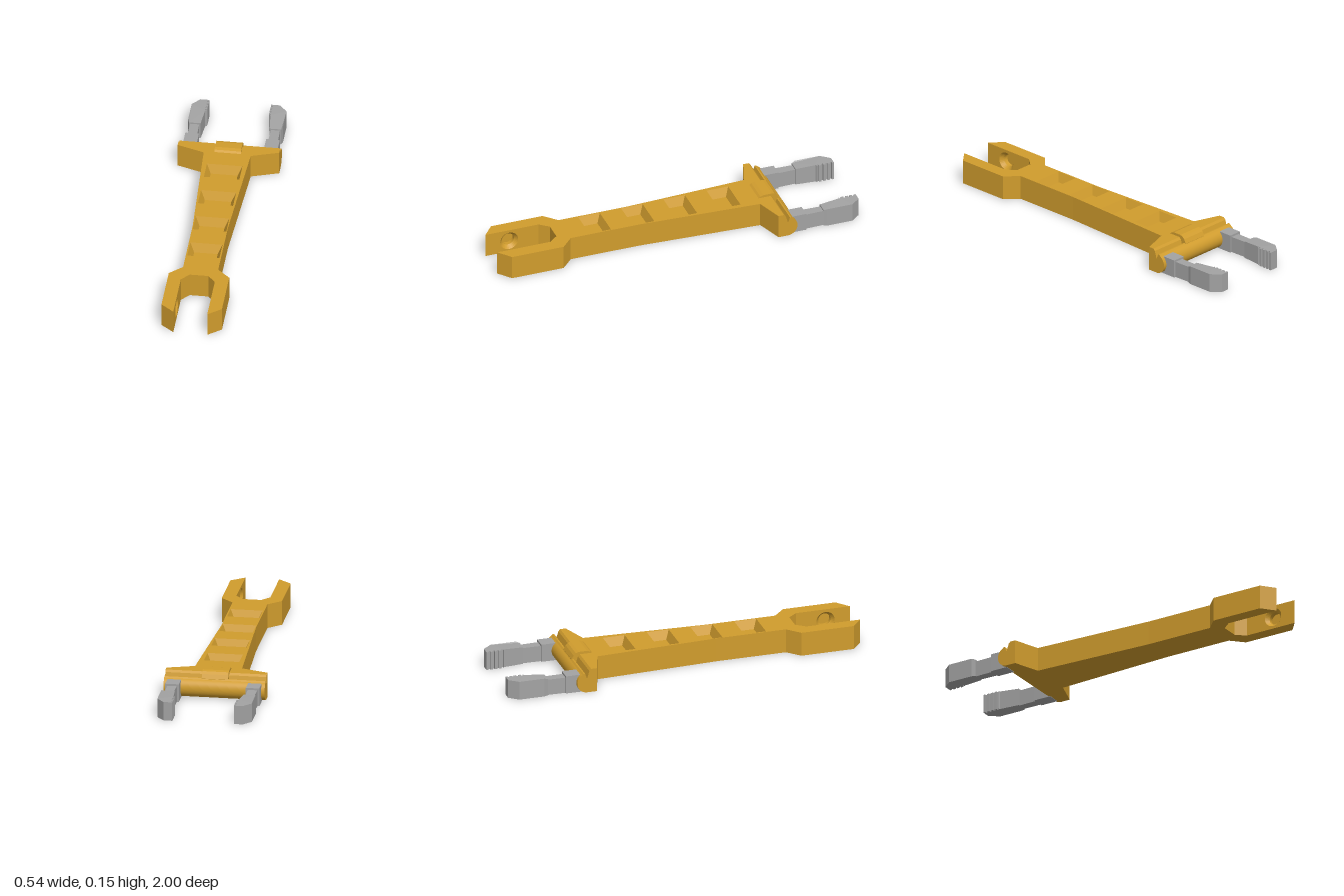
import * as THREE from 'three';

const TOP = 0.133, POCKET = 0.05;

export function createModel() {
  const model = new THREE.Group();
  const gold = new THREE.MeshStandardMaterial({ color: 0xd09c2d, side: THREE.DoubleSide });
  const grey = new THREE.MeshStandardMaterial({ color: 0xa3a3a3 });
  gold.name = 'gold';
  grey.name = 'grey';

  const add = (name, geometry, material = gold) => {
    const mesh = new THREE.Mesh(geometry, material);
    mesh.name = name;
    model.add(mesh);
    return mesh;
  };
  const shapeOf = (pts) => new THREE.Shape(pts.map(([a, b]) => new THREE.Vector2(a, b)));

  // plan outline (x, z) raised between two heights
  const raise = (shape, y0, y1) => {
    const g = new THREE.ExtrudeGeometry(shape, { depth: y1 - y0, bevelEnabled: false });
    return g.rotateX(Math.PI / 2).translate(0, y1, 0);
  };
  // side profile (-z, y) swept between two x positions
  const sweep = (shape, x0, x1) => {
    const g = new THREE.ExtrudeGeometry(shape, { depth: x1 - x0, bevelEnabled: false, curveSegments: 28 });
    return g.rotateY(Math.PI / 2).translate(x0, 0, 0);
  };

  // Tapered arm with the root of the fork and the flared shoulders
  const half = [
    [0.05, 0.65], [0.091, 0.70], [0.162, 0.70], [0.162, 0.65], [0.094, 0.585],
    [0.094, 0.2], [0.126, -0.475], [0.272, -0.525], [0.272, -0.53],
  ];
  const outline = [...half, ...half.map(([x, z]) => [-x, z]).reverse()];
  add('armBase', raise(shapeOf(outline), 0, TOP - POCKET));

  // Row of sunken pockets with sloping walls
  const pockets = [[-0.314, 0.095], [-0.069, 0.094], [0.172, 0.09], [0.416, 0.086]];
  const ring = (z, w, d) => [[-w, z + d], [w, z + d], [w, z - d], [-w, z - d]];
  const upper = shapeOf(outline);
  for (const [z, w] of pockets) {
    const rim = ring(z, w, 0.061);
    upper.holes.push(shapeOf(rim));
    const floor = ring(z, w - 0.023, 0.04);
    const g = new THREE.BufferGeometry();
    const pos = [
      ...rim.flatMap(([x, pz]) => [x, TOP, pz]),
      ...floor.flatMap(([x, pz]) => [x, TOP - POCKET + 0.002, pz]),
    ];
    const index = [4, 5, 6, 4, 6, 7];
    for (let i = 0; i < 4; i++) {
      const j = (i + 1) % 4;
      index.push(i, j, j + 4, i, j + 4, i + 4);
    }
    g.setAttribute('position', new THREE.Float32BufferAttribute(pos, 3));
    g.setIndex(index);
    const flat = g.toNonIndexed();
    flat.computeVertexNormals();
    add('pocket', flat);
  }
  add('armTop', raise(upper, TOP - POCKET, TOP));

  // Fork prongs: a drilled inner layer, a solid outer layer and a slanted tip
  const prongLayer = (s, inner, outer, drilled) => {
    const shape = shapeOf([[-1, 0], [-0.70, 0], [-0.70, TOP], [-1, TOP]]);
    if (drilled) shape.holes.push(new THREE.Path().absarc(-0.865, TOP / 2, 0.051, 0, Math.PI * 2, true));
    const g = sweep(shape, Math.min(s * inner, s * outer), Math.max(s * inner, s * outer));
    const p = g.attributes.position;
    for (let i = 0; i < p.count; i++) {
      if (p.getZ(i) > 0.99) p.setZ(i, 1 - (Math.abs(p.getX(i)) - 0.091) * 0.82);
    }
    g.computeVertexNormals();
    add(drilled ? 'prongInner' : 'prongOuter', g);
  };
  for (const s of [-1, 1]) {
    prongLayer(s, 0.091, 0.136, true);
    prongLayer(s, 0.136, 0.162, false);
    // stepped blind socket facing the gap
    const socket = new THREE.LatheGeometry(
      [[0.051, 0], [0.034, 0.02], [0.034, 0.044], [0, 0.044]].map(([r, y]) => new THREE.Vector2(r, y)), 32,
    ).toNonIndexed();
    socket.computeVertexNormals();
    socket.rotateZ(-s * Math.PI / 2).translate(s * 0.091, TOP / 2, 0.865);
    add('prongSocket', socket);
  }

  // Cross head: rounded barrel with a notch along its top
  const head = new THREE.Shape();
  head.moveTo(0.525, 0);
  head.lineTo(0.578, 0);
  head.absarc(0.578, 0.055, 0.055, -Math.PI / 2, Math.PI / 3, false);
  for (const [u, y] of [[0.598, 0.11], [0.59, 0.11], [0.579, 0.08], [0.566, 0.122], [0.556, TOP], [0.525, TOP]]) {
    head.lineTo(u, y);
  }
  head.closePath();
  add('crossHead', sweep(head, -0.272, 0.272));

  // Clip bridging the notch
  add('clip', sweep(shapeOf([
    [0.486, 0.125], [0.486, 0.133], [0.497, 0.141], [0.515, 0.147], [0.562, 0.147],
    [0.578, 0.142], [0.59, 0.13], [0.602, 0.108], [0.602, 0.08], [0.55, 0.08],
  ]), -0.071, 0.071));

  // Pair of gripping jaws: foot, slim neck and a serrated finger
  for (const s of [-1, 1]) {
    const plan = (pts) => shapeOf(pts.map(([x, z]) => [s * x, z]));
    add('jawFoot', raise(plan([[0.18, -0.59], [0.253, -0.59], [0.253, -0.69], [0.18, -0.69]]), 0, 0.099), grey);
    add('jawNeck', raise(plan([[0.19, -0.68], [0.243, -0.68], [0.24, -0.80], [0.193, -0.80]]), 0, 0.088), grey);

    const finger = [[0.185, -0.79], [0.247, -0.79], [0.254, -0.81], [0.254, -0.95], [0.213, -1], [0.165, -1]];
    for (let i = 0; i < 4; i++) {
      const z = -0.988 + i * 0.024;
      finger.push([0.165, z], [0.176, z], [0.176, z + 0.01], [0.165, z + 0.01]);
    }
    finger.push([0.175, -0.9]);
    const g = raise(plan(finger), 0, 0.103);
    // slightly lowered shoulder where the finger meets the neck
    const p = g.attributes.position;
    for (let i = 0; i < p.count; i++) {
      if (p.getZ(i) > -0.8 && p.getY(i) > 0.05) p.setY(i, 0.096);
    }
    g.computeVertexNormals();
    add('jawFinger', g, grey);
  }
  return model;
}
